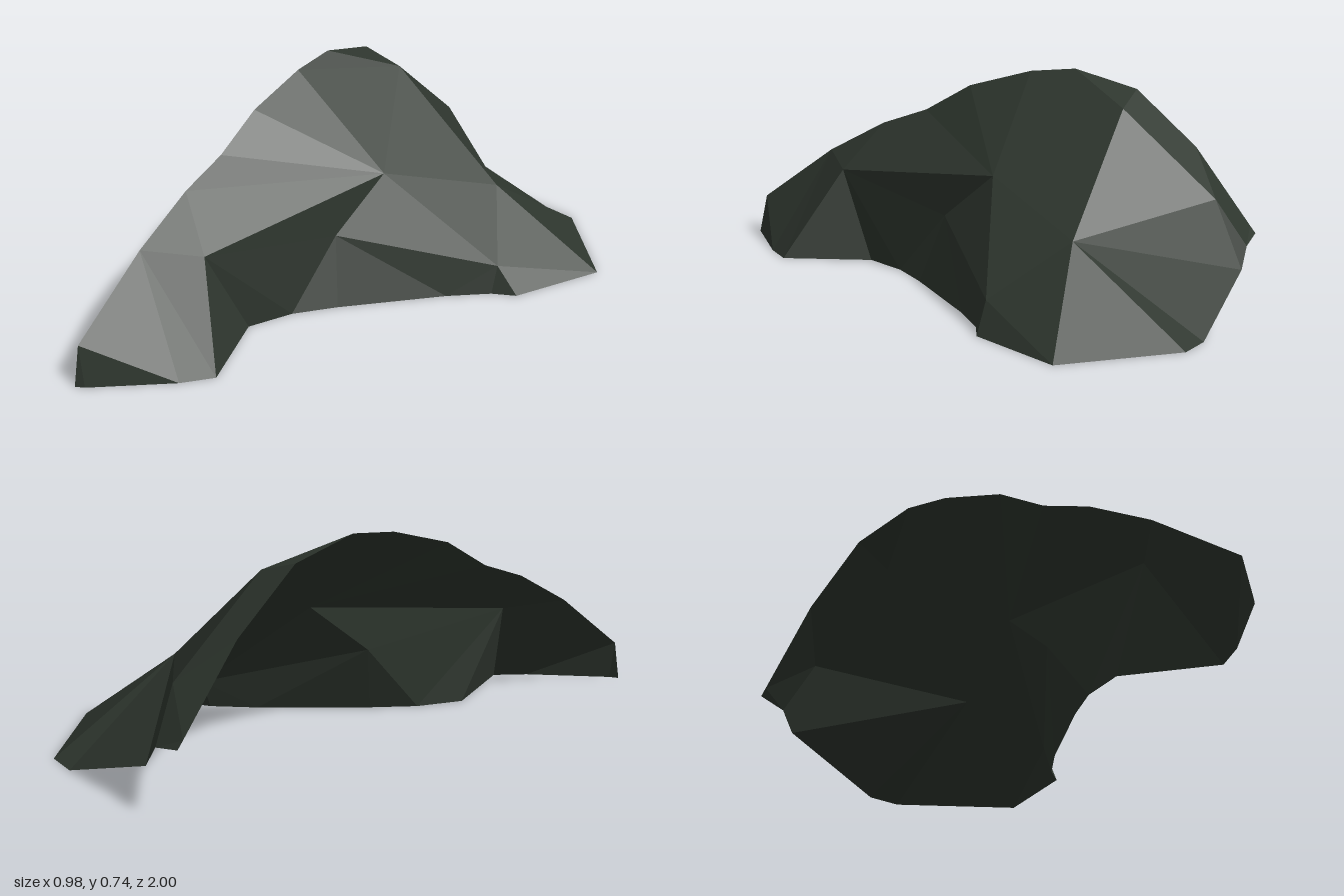
import * as THREE from 'three';

// Crest points [y, z] on the cut side x = -0.49, from the toe to the back
const crest = [
  [0.14, 0.97], [0.355, 0.67], [0.48, 0.44], [0.545, 0.26], [0.65, 0.08], [0.72, -0.16],
  [0.74, -0.33], [0.685, -0.56], [0.5, -0.78], [0.245, -0.98], [0.22, -1],
].map(([y, z]) => new THREE.Vector3(-0.49, y, z));

// Foot line [x, z] on the ground, from the toe round to the back
const foot = [
  [-0.49, 1], [-0.46, 0.985], [-0.235, 0.785], [-0.16, 0.69], [-0.285, 0.385], [-0.22, 0.23], [-0.12, 0.1],
  [0.14, -0.19], [0.26, -0.3], [0.34, -0.34], [0.485, -0.66], [0.19, -0.98], [0.07, -1],
].map(([x, z]) => new THREE.Vector3(x, 0, z));

// Points on the slope between crest and foot
const hollow = new THREE.Vector3(-0.335, 0.32, 0.53);
const dip = new THREE.Vector3(-0.18, 0.235, 0.03);
const brow = new THREE.Vector3(-0.126, 0.41, -0.18);
const spur = new THREE.Vector3(0.26, 0.097, -0.335);
const shoulder = new THREE.Vector3(0.1, 0.28, -0.565);
const summit = new THREE.Vector3(-0.34, 0.64, -0.565);
const backBend = new THREE.Vector3(-0.34, 0.36, -0.9);
const backHigh = new THREE.Vector3(-0.385, 0.2, -1);
const backLow = new THREE.Vector3(-0.335, 0.13, -1);

// Facets spreading from a centre point along a chain of neighbours
function fans(list) {
  const points = [];
  for (const [centre, ...chain] of list) {
    for (let i = 0; i + 1 < chain.length; i++) points.push(centre, chain[i], chain[i + 1]);
  }
  const geometry = new THREE.BufferGeometry().setFromPoints(points);
  geometry.computeVertexNormals();
  return geometry;
}

export function createModel() {
  const group = new THREE.Group();
  group.name = 'hillside';
  const rock = new THREE.MeshStandardMaterial({ color: 0x2e362e, flatShading: true, side: THREE.DoubleSide });
  rock.name = 'dark green rock';
  const c = crest, f = foot;

  const parts = {
    // Low toe at the front
    toe: [
      [c[0], f[0], f[1], f[2], c[1]],
      [c[1], f[2], f[3], hollow, c[2]],
    ],
    // Long slope with its hollow and spur
    frontSlope: [
      [hollow, f[3], f[4], f[5], dip, brow, c[2]],
      [dip, f[5], f[6], f[7], spur, brow],
      [spur, f[7], f[8], f[9], f[10], shoulder, brow],
      [brow, shoulder, summit, c[5], c[4], c[3], c[2]],
    ],
    // Top and the steep fall behind it
    backSlope: [
      [summit, shoulder, backBend, c[8], c[7], c[6], c[5]],
      [shoulder, f[10], f[11], f[12], backLow, backBend],
      [backBend, backLow, backHigh, c[9], c[8]],
      [backHigh, c[10], c[9]],
    ],
  };
  for (const [name, list] of Object.entries(parts)) {
    const mesh = new THREE.Mesh(fans(list), rock);
    mesh.name = name;
    group.add(mesh);
  }
  return group;
}
